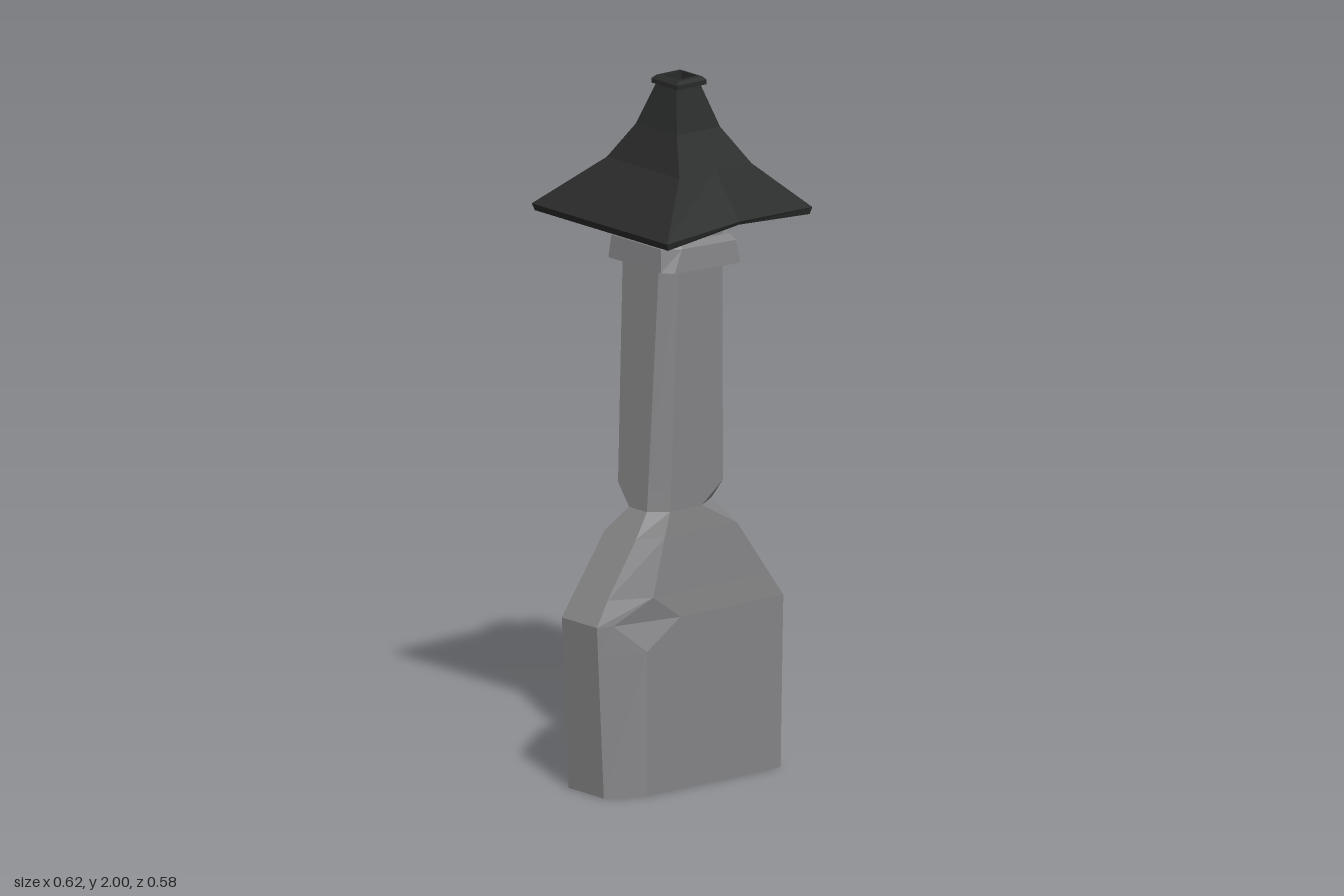
import * as THREE from 'three';

const stone = new THREE.MeshStandardMaterial({ color: 0x868688 });
stone.name = 'grey stone';
const metal = new THREE.MeshStandardMaterial({ color: 0x292a2a });
metal.name = 'dark roof metal';

// Faceted skin over rings of [x, y, z], each counter-clockwise seen from above
function loft(name, rings, material, capped = true) {
  const pos = [];
  const tri = (a, b, c) => pos.push(...a, ...b, ...c);
  const n = rings[0].length;
  for (let i = 0; i + 1 < rings.length; i++) {
    for (let j = 0; j < n; j++) {
      const k = (j + 1) % n;
      const a = rings[i][j], b = rings[i][k], c = rings[i + 1][k], d = rings[i + 1][j];
      tri(a, b, c);
      tri(a, c, d);
    }
  }
  if (capped) {
    const centre = (r) => [0, 1, 2].map((m) => r.reduce((s, p) => s + p[m], 0) / n);
    const lo = rings[0], hi = rings[rings.length - 1];
    for (let j = 0; j < n; j++) {
      const k = (j + 1) % n;
      tri(centre(lo), lo[k], lo[j]);
      tri(centre(hi), hi[j], hi[k]);
    }
  }
  const g = new THREE.BufferGeometry();
  g.setAttribute('position', new THREE.Float32BufferAttribute(pos, 3));
  g.computeVertexNormals();
  const mesh = new THREE.Mesh(g, material);
  mesh.name = name;
  return mesh;
}

// Masonry section: bevels at front left and back right (cl, cr = where they start),
// a notch in the other two corners, a chip on the bevelled ones
function section(y, [l, r], [f, b], [cl, cr], [df, db], notch = 0, chip = 0, tilt = 0) {
  return [
    [r - notch, f], [r, f - notch * 0.65],
    [r, b + db], [cr + chip * 0.09, b + chip * db * 0.7], [cr - chip * 0.12, b],
    [l + notch, b], [l, b + notch * 0.65],
    [l, f - df], [cl - chip * 0.09, f - chip * df * 0.7], [cl + chip * 0.12, f],
  ].map(([x, z]) => [x, y + tilt * x, z]);
}

// Roof section: a rectangle with side midpoints, tilted sideways, arched at front and back
function roofRing([y, l, r, f, b, tilt = 0, lift = 0]) {
  const mx = (l + r) / 2, mz = (f + b) / 2;
  return [[r, f], [r, mz], [r, b], [mx, b], [l, b], [l, mz], [l, f], [mx, f]]
    .map(([x, z], i) => [x, y + tilt * x + (i === 3 || i === 7 ? lift : 0), z]);
}

export function createModel() {
  const group = new THREE.Group();
  group.name = 'chimney';

  // Wide base, sloping shoulders and tall shaft
  const d = [0.055, 0.02], s = [0.04, 0.02];
  group.add(loft('chimneyStack', [
    section(0, [-0.29, 0.3], [0.095, -0.11], [-0.18, 0.18], d),
    section(0.41, [-0.311, 0.308], [0.095, -0.11], [-0.18, 0.18], d),
    section(0.49, [-0.315, 0.31], [0.095, -0.11], [-0.18, 0.18], d, 0, 1),
    section(0.56, [-0.273, 0.262], [0.091, -0.104], [-0.155, 0.15], d),
    section(0.72, [-0.177, 0.153], [0.084, -0.09], [-0.108, 0.1], s),
    section(0.79, [-0.135, 0.105], [0.08, -0.085], [-0.085, 0.07], s, 0.075),
    section(0.85, [-0.132, 0.104], [0.081, -0.087], [-0.083, 0.069], s),
    section(1.49, [-0.1, 0.095], [0.09, -0.105], [-0.065, 0.06], s),
  ], stone));

  // Collar on top of the shaft
  const c = [0.03, 0.02];
  group.add(loft('collar', [
    section(1.475, [-0.124, 0.135], [0.118, -0.138], [-0.1, 0.1], c, 0, 0, -0.03),
    section(1.54, [-0.12, 0.125], [0.112, -0.13], [-0.07, 0.08], c, 0, 0, -0.03),
    section(1.557, [-0.11, 0.115], [0.1, -0.12], [-0.06, 0.07], c, 0, 0, -0.03),
  ], stone));

  // Four leaning posts that carry the roof
  for (const [x, lean] of [[-0.07, 0.03], [0.075, 0.035]]) {
    for (const z of [0.075, -0.085]) {
      const ring = (y, px) => [[1, 1], [1, -1], [-1, -1], [-1, 1]]
        .map(([sx, sz]) => [px + sx * 0.016, y, z + sz * 0.017]);
      group.add(loft('roofPost', [ring(1.54, x), ring(1.7, x + lean)], stone));
    }
  }

  // Flared hollow roof: outside up to the rim, then back down the inside
  const outer = [
    [1.616, -0.265, 0.245, 0.285, -0.285, 0.035, 0.022],
    [1.636, -0.272, 0.25, 0.29, -0.29, 0.035, 0.012],
    [1.76, -0.115, 0.145, 0.155, -0.155],
    [1.86, -0.065, 0.09, 0.085, -0.09],
    [1.975, -0.03, 0.057, 0.042, -0.048],
    [1.977, -0.035, 0.07, 0.052, -0.06],
    [1.99, -0.035, 0.07, 0.052, -0.06],
    [2, -0.025, 0.06, 0.044, -0.05],
  ];
  const inner = [
    [2, -0.014, 0.054, 0.03, -0.036],
    [1.96, -0.014, 0.054, 0.03, -0.036],
    [1.85, -0.05, 0.075, 0.07, -0.075],
    [1.75, -0.1, 0.13, 0.14, -0.14],
    [1.622, -0.25, 0.23, 0.27, -0.27, 0.035, 0.022],
  ];
  group.add(loft('roof', [...outer, ...inner, outer[0]].map(roofRing), metal, false));

  return group;
}
